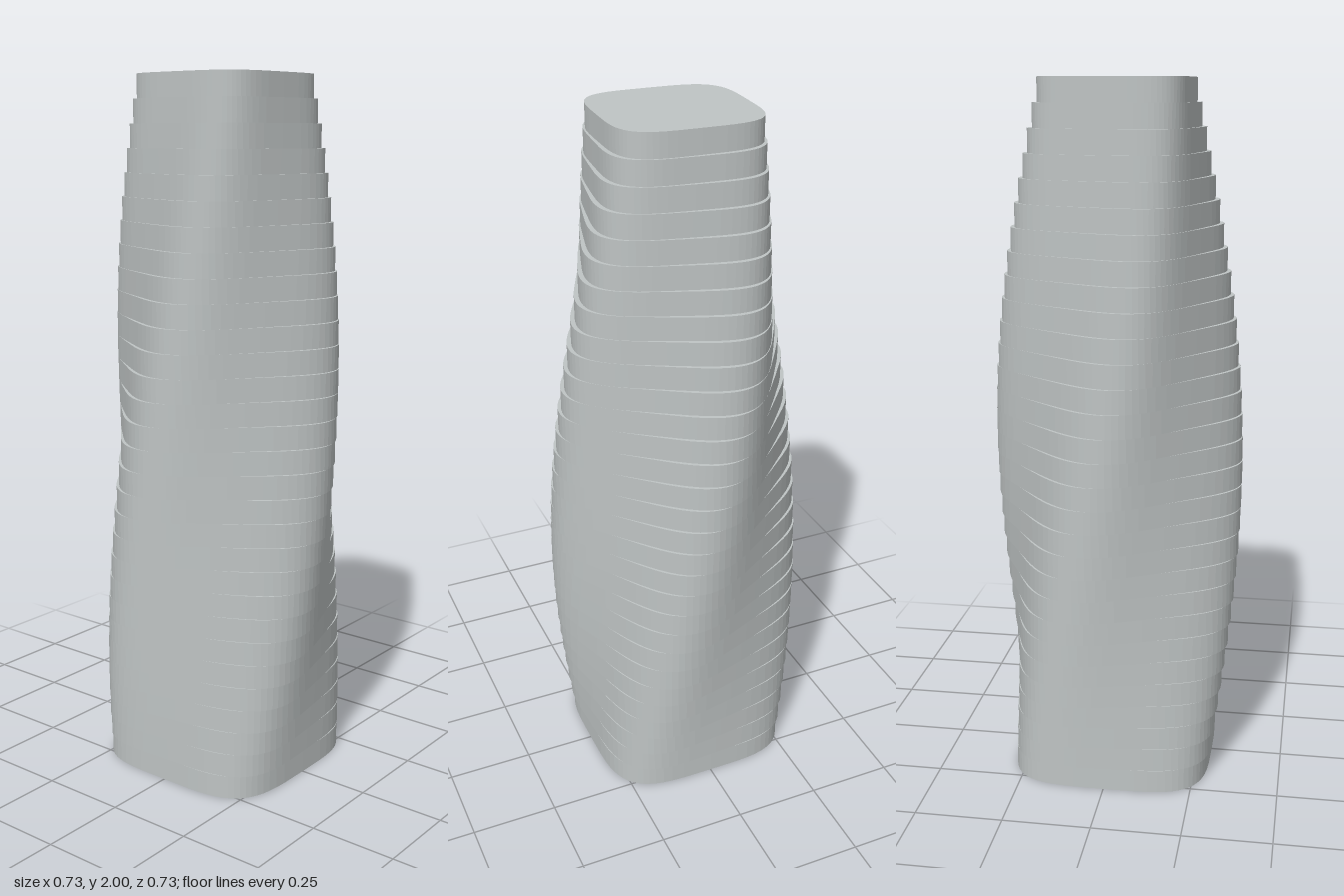
import * as THREE from 'three';

const FLOORS = 30;
const SEGMENTS = 64;
const HEIGHT = 2 / FLOORS;

// Rounded-square floor plan (superellipse of power four), half-width 1
function floorPlan() {
  const soften = (v) => Math.sign(v) * Math.sqrt(Math.abs(v));
  const points = [];
  for (let i = 0; i < SEGMENTS; i++) {
    const a = (i / SEGMENTS) * Math.PI * 2;
    points.push(new THREE.Vector2(soften(Math.cos(a)), soften(Math.sin(a))));
  }
  return new THREE.Shape(points);
}

// Half-width of the tower: tapers upward with a bulge in the middle
function halfWidth(t) {
  return THREE.MathUtils.lerp(0.29, 0.197, t) + 0.059 * Math.sin(Math.PI * t);
}

export function createModel() {
  const tower = new THREE.Group();
  tower.name = 'twistedTower';

  const paleGrey = new THREE.MeshStandardMaterial({ color: 0xbfc4c4 });
  paleGrey.name = 'paleGrey';

  // One straight-sided storey, shared by all floors
  const storey = new THREE.ExtrudeGeometry(floorPlan(), { depth: HEIGHT, bevelEnabled: false });
  storey.rotateX(-Math.PI / 2);

  // Stack the storeys, turning each one three degrees further
  for (let i = 0; i < FLOORS; i++) {
    const t = i / FLOORS;
    const floor = new THREE.Mesh(storey, paleGrey);
    floor.name = `floor${i + 1}`;
    const w = halfWidth(t);
    floor.scale.set(w, 1, w);
    floor.position.y = i * HEIGHT;
    floor.rotation.y = t * Math.PI / 2;
    tower.add(floor);
  }
  return tower;
}
